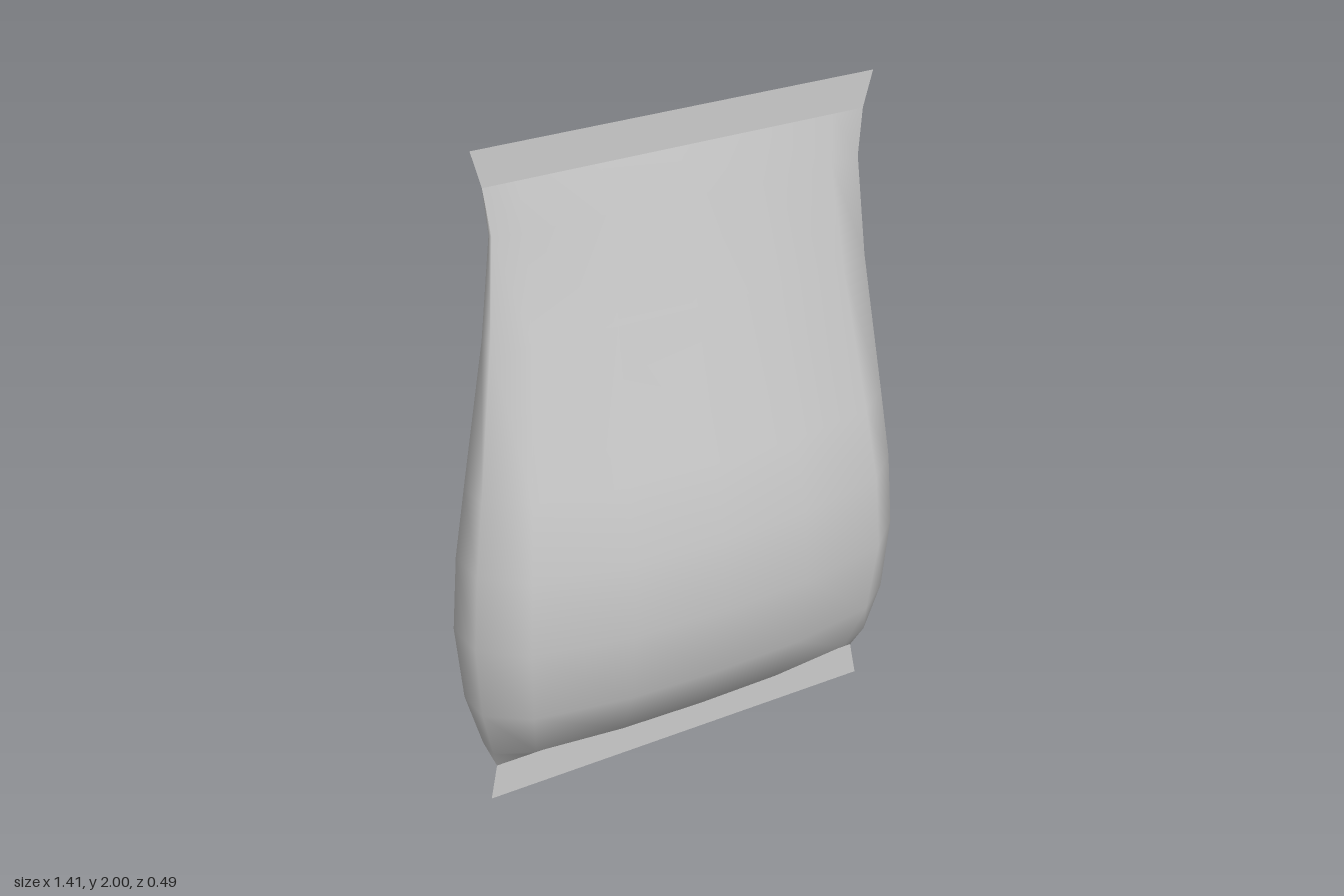
import * as THREE from 'three';

const material = new THREE.MeshStandardMaterial({ color: 0xcccccc, side: THREE.DoubleSide });

// Pillow levels from bottom seam to top seam: [height, half width, half depth]
const levels = [
  [0.11, 0.625, 0], [0.18, 0.65, 0.12], [0.34, 0.69, 0.207], [0.57, 0.707, 0.247],
  [0.8, 0.69, 0.237], [1.02, 0.66, 0.193], [1.46, 0.6, 0.09], [1.76, 0.575, 0.03], [1.895, 0.592, 0],
];

// Quarter of the cross-section as fractions of half width and half depth
const quarter = [[1, 0.28], [0.83, 0.71], [0.41, 0.95]];

function crossSection() {
  const front = [...quarter, [0, 1], ...quarter.map(([x, z]) => [-x, z]).reverse()];
  return [...front, ...front.map(([x, z]) => [-x, -z])];
}

// Puffed body lofted through the levels
function createBody() {
  const ring = crossSection();
  const n = ring.length;
  const positions = [];
  const indices = [];
  levels.forEach(([y, w, d], row) => {
    ring.forEach(([x, z], i) => {
      positions.push(x * w, y, z * d);
      if (row === levels.length - 1) return;
      const a = row * n + i;
      const b = row * n + (i + 1) % n;
      indices.push(a, a + n, b + n, a, b + n, b);
    });
  });
  const geometry = new THREE.BufferGeometry();
  geometry.setAttribute('position', new THREE.Float32BufferAttribute(positions, 3));
  geometry.setIndex(indices);
  geometry.computeVertexNormals();
  const mesh = new THREE.Mesh(geometry, material);
  mesh.name = 'bagBody';
  return mesh;
}

// Flat flared seal strip
function createSeal(name, y0, w0, y1, w1) {
  const shape = new THREE.Shape([[-w0, y0], [w0, y0], [w1, y1], [-w1, y1]].map(p => new THREE.Vector2(...p)));
  const mesh = new THREE.Mesh(new THREE.ShapeGeometry(shape), material);
  mesh.name = name;
  return mesh;
}

export function createModel() {
  const bag = new THREE.Group();
  bag.name = 'snackBag';
  bag.add(
    createBody(),
    createSeal('bottomSeal', 0, 0.647, 0.11, 0.625),
    createSeal('topSeal', 1.895, 0.592, 2, 0.622),
  );
  return bag;
}
